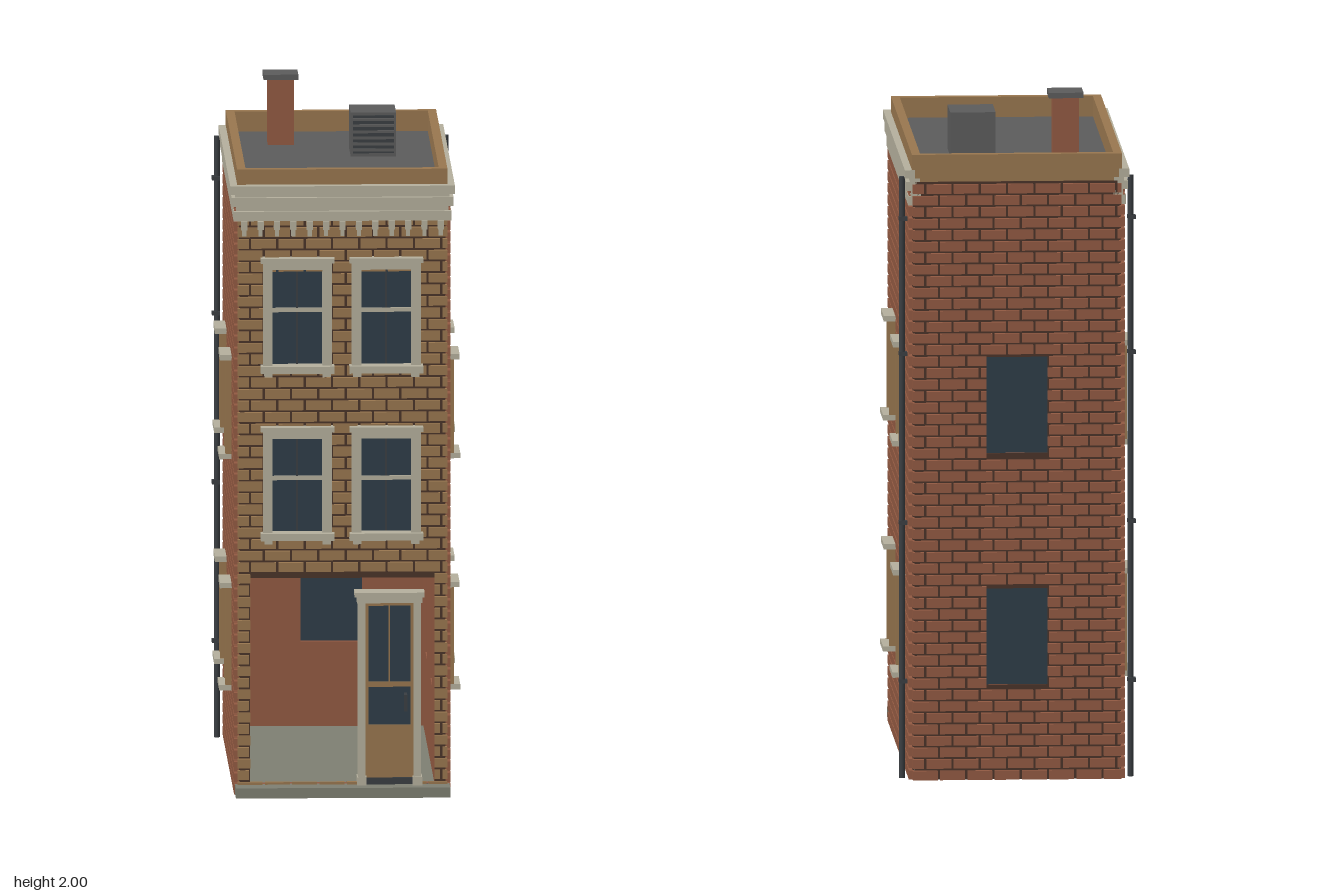
import * as THREE from 'three';
import { mergeGeometries } from 'three/addons/utils/BufferGeometryUtils.js';

const mat = (name, color) => {
  const m = new THREE.MeshStandardMaterial({ color });
  m.name = name;
  return m;
};
const M = {
  red: mat('red brick', 0x935a42), tan: mat('tan brick', 0x99774f),
  mortar: mat('dark mortar', 0x4a3328), trim: mat('pale trim', 0xb5b09d),
  glass: mat('dark glass', 0x2e3d48), roof: mat('roof grey', 0x5c5c5c),
  stone: mat('stone', 0x7e7f72), metal: mat('dark metal', 0x3a3e42),
};

const boxGeo = (x0, x1, y0, y1, z0, z1) =>
  new THREE.BoxGeometry(x1 - x0, y1 - y0, z1 - z0)
    .translate((x0 + x1) / 2, (y0 + y1) / 2, (z0 + z1) / 2);

function add(parent, name, material, geo) {
  const mesh = new THREE.Mesh(geo, material);
  mesh.name = name;
  parent.add(mesh);
  return mesh;
}
const box = (parent, name, material, ...b) => add(parent, name, material, boxGeo(...b));

// Flat panel with rectangular holes [u0, u1, v0, v1], extruded from z0 to z1
function panel(u0, u1, v0, v1, holes, z0, z1) {
  const rect = (P, a, b, c, d) => new P([
    new THREE.Vector2(a, c), new THREE.Vector2(b, c), new THREE.Vector2(b, d), new THREE.Vector2(a, d)]);
  const shape = rect(THREE.Shape, u0, u1, v0, v1);
  shape.holes = holes.map((h) => rect(THREE.Path, ...h));
  return new THREE.ExtrudeGeometry(shape, { depth: z1 - z0, bevelEnabled: false }).translate(0, 0, z0);
}

// Running-bond bricks, cut around the holes
function bricks(u0, u1, v0, v1, holes, z0, z1) {
  const parts = [], rows = Math.round((v1 - v0) / 0.034), pitch = (v1 - v0) / rows;
  const len = 0.08, gap = 0.007;
  for (let r = 0; r < rows; r++) {
    const a = v0 + r * pitch, b = a + pitch - gap, mid = (a + b) / 2;
    const cuts = holes.filter((h) => mid > h[2] && mid < h[3]);
    for (let u = u0 - (r % 2) * len / 2; u < u1; u += len) {
      let spans = [[Math.max(u, u0), Math.min(u + len - gap, u1)]];
      for (const h of cuts) {
        spans = spans.flatMap(([s, e]) => [[s, Math.min(e, h[0])], [Math.max(s, h[1]), e]]);
      }
      for (const [s, e] of spans) {
        if (e - s > 0.006) parts.push(boxGeo(s, e, a, b, z0, z1));
      }
    }
  }
  return mergeGeometries(parts);
}

// Wall in its own frame: x along the wall, z outward
function wall(name, brick, face, u0, u1, v0, v1, holes, thick = 0.035) {
  const g = new THREE.Group();
  g.name = name;
  add(g, 'innerWall', M.red, panel(u0, u1, v0, v1, holes, face - thick, face - 0.006));
  add(g, 'mortar', M.mortar, panel(u0, u1, v0, v1, holes, face - 0.006, face));
  add(g, 'bricks', brick, bricks(u0 - 0.007, u1 + 0.007, v0, v1, holes, face - 0.003, face + 0.012));
  return g;
}

// Recessed side window with tan jambs, lintel and sill
function sideWindow(g, [u0, u1, v0, v1]) {
  box(g, 'windowGlass', M.glass, u0, u1, v0, v1, 0.281, 0.289);
  box(g, 'windowJamb', M.tan, u0 - 0.012, u0 + 0.003, v0, v1, 0.275, 0.335);
  box(g, 'windowJamb', M.tan, u1 - 0.003, u1 + 0.012, v0, v1, 0.275, 0.335);
  box(g, 'windowLintel', M.trim, u0 - 0.013, u1 + 0.013, v1 - 0.004, v1 + 0.012, 0.28, 0.351);
  box(g, 'windowSill', M.trim, u0 - 0.013, u1 + 0.013, v0 - 0.012, v0 + 0.004, 0.28, 0.353);
}

// Four-pane front window with a trim surround
function frontWindow(g, cx, y0, y1) {
  const w = new THREE.Group();
  w.name = 'frontWindow';
  w.position.x = cx;
  g.add(w);
  const mid = (y0 + y1) / 2;
  box(w, 'glass', M.glass, -0.075, 0.075, y0, y1, 0.528, 0.536);
  for (const s of [-1, 1]) {
    add(w, 'jamb', M.trim, boxGeo(-0.014, 0.014, y0, y1, 0.525, 0.575).translate(s * 0.087, 0, 0));
    add(w, 'sillBlock', M.trim, boxGeo(-0.012, 0.012, y0 - 0.03, y0, 0.54, 0.585).translate(s * 0.085, 0, 0));
  }
  box(w, 'head', M.trim, -0.101, 0.101, y1 - 0.003, y1 + 0.018, 0.525, 0.58);
  box(w, 'headCap', M.trim, -0.108, 0.108, y1 + 0.018, y1 + 0.032, 0.53, 0.594);
  box(w, 'sill', M.trim, -0.108, 0.108, y0 - 0.018, y0 + 0.003, 0.525, 0.598);
  box(w, 'meetingRail', M.trim, -0.075, 0.075, mid + 0.012, mid + 0.024, 0.53, 0.545);
  box(w, 'muntin', M.metal, -0.003, 0.003, y0, y1, 0.53, 0.541);
}

export function createModel() {
  const house = new THREE.Group();
  house.name = 'townHouse';

  // Ground slab with front step
  box(house, 'groundSlab', M.stone, -0.3, 0.3, 0, 0.03, -0.61, 0.54);
  box(house, 'frontStep', M.stone, -0.314, 0.314, 0, 0.03, 0.54, 0.628);

  // Side walls, windows and downpipes
  for (const s of [-1, 1]) {
    const holes = [];
    for (const z of [0.207, -0.307]) {
      for (const [y0, y1] of [[0.28, 0.575], [0.965, 1.25]]) {
        holes.push([-s * z - 0.066, -s * z + 0.066, y0, y1]);
      }
    }
    const ends = [-s * 0.538, s * 0.605].sort((a, b) => a - b);
    const g = wall('sideWall', M.red, 0.305, ends[0], ends[1], 0, 1.77, holes);
    holes.forEach((h) => sideWindow(g, h));
    g.rotation.y = s * Math.PI / 2;
    house.add(g);

    const pipe = add(house, 'downpipe', M.metal, new THREE.CylinderGeometry(0.009, 0.009, 1.78, 10));
    pipe.position.set(s * 0.335, 0.89, -0.573);
    for (const y of [0.28, 0.75, 1.25, 1.65]) {
      add(house, 'pipeBracket', M.metal, boxGeo(-0.015, 0.009, y, y + 0.012, -0.584, -0.562).translate(s * 0.335, 0, 0));
    }
  }

  // Back wall with two windows
  const backHoles = [[-0.09, 0.09, 0.28, 0.565], [-0.09, 0.09, 0.965, 1.25]];
  const back = wall('backWall', M.red, 0.617, -0.299, 0.299, 0, 1.77, backHoles);
  for (const [a, b, c, d] of backHoles) box(back, 'backWindowGlass', M.glass, a, b, c, d, 0.6, 0.608);
  back.rotation.y = Math.PI;
  house.add(back);

  // Front wall: open ground floor and four windows
  const rows = [[0.775, 1.06], [1.27, 1.56]], cols = [-0.132, 0.128];
  const frontHoles = [[-0.27, 0.27, 0.03, 0.64]];
  for (const x of cols) for (const [a, b] of rows) frontHoles.push([x - 0.08, x + 0.08, a, b]);
  const front = wall('frontWall', M.tan, 0.547, -0.3, 0.3, 0.01, 1.72, frontHoles);
  for (const x of cols) for (const [a, b] of rows) frontWindow(front, x, a, b);
  house.add(front);

  // Entrance door in its trim surround
  const door = new THREE.Group();
  door.name = 'entrance';
  house.add(door);
  for (const x of [0.056, 0.219]) {
    box(door, 'doorPost', M.trim, x - 0.011, x + 0.011, 0.03, 0.575, 0.525, 0.58);
    box(door, 'postBase', M.trim, x - 0.014, x + 0.014, 0.03, 0.055, 0.522, 0.585);
  }
  box(door, 'doorHead', M.trim, 0.042, 0.233, 0.57, 0.588, 0.522, 0.585);
  box(door, 'doorHeadCap', M.trim, 0.035, 0.24, 0.588, 0.602, 0.52, 0.594);
  box(door, 'doorGlass', M.glass, 0.067, 0.208, 0.2, 0.57, 0.537, 0.545);
  box(door, 'doorPanel', M.tan, 0.067, 0.208, 0.05, 0.205, 0.53, 0.555);
  box(door, 'threshold', M.metal, 0.067, 0.208, 0.03, 0.05, 0.53, 0.56);
  for (const x of [0.07, 0.205]) box(door, 'doorStile', M.tan, x - 0.006, x + 0.006, 0.2, 0.57, 0.53, 0.555);
  box(door, 'doorRail', M.tan, 0.07, 0.205, 0.318, 0.332, 0.53, 0.555);
  box(door, 'doorTopRail', M.tan, 0.07, 0.205, 0.558, 0.57, 0.53, 0.555);
  box(door, 'doorMuntin', M.tan, 0.135, 0.14, 0.332, 0.56, 0.535, 0.55);
  box(door, 'doorHandle', M.metal, 0.18, 0.189, 0.25, 0.3, 0.55, 0.594);

  // Stepped cornice round the front and sides, with brackets below
  const bands = [[1.70, 1.728, 0.319, 0.566], [1.728, 1.744, 0.311, 0.552], [1.744, 1.77, 0.325, 0.574],
    [1.77, 1.78, 0.314, 0.56], [1.78, 1.805, 0.329, 0.58]];
  for (const [y0, y1, x, z] of bands) {
    box(house, 'corniceFront', M.trim, -x, x, y0, y1, 0.52, z);
    for (const s of [-1, 1]) {
      add(house, 'corniceSide', M.trim, boxGeo(-0.03, 0, y0, y1, -0.617, 0.53).translate(s * x + (s < 0 ? 0.03 : 0), 0, 0));
    }
  }
  for (let i = 0; i < 13; i++) {
    const x = -0.288 + i * 0.048;
    box(house, 'corniceBracket', M.trim, x - 0.009, x + 0.009, 1.675, 1.7, 0.54, 0.577);
    box(house, 'bracketFoot', M.trim, x - 0.006, x + 0.006, 1.655, 1.675, 0.54, 0.568);
  }

  // Roof deck and parapet
  box(house, 'roofDeck', M.roof, -0.295, 0.295, 1.765, 1.79, -0.6, 0.53);
  const rim = panel(-0.308, 0.308, -0.545, 0.615, [[-0.283, 0.283, -0.515, 0.588]], 1.77, 1.85);
  add(house, 'parapet', M.tan, rim.rotateX(-Math.PI / 2));

  // Chimney
  box(house, 'chimneyStack', M.red, -0.193, -0.117, 1.78, 1.985, -0.4, -0.325);
  box(house, 'chimneyCap', M.roof, -0.206, -0.104, 1.984, 2, -0.414, -0.312);

  // Rooftop vent unit with louvres
  box(house, 'ventUnit', M.roof, 0.043, 0.176, 1.78, 1.92, -0.252, -0.094);
  box(house, 'ventFace', M.metal, 0.05, 0.169, 1.8, 1.912, -0.096, -0.091);
  for (let i = 0; i < 6; i++) {
    box(house, 'ventSlat', M.roof, 0.05, 0.169, 1.806 + i * 0.018, 1.814 + i * 0.018, -0.094, -0.086);
  }
  return house;
}
